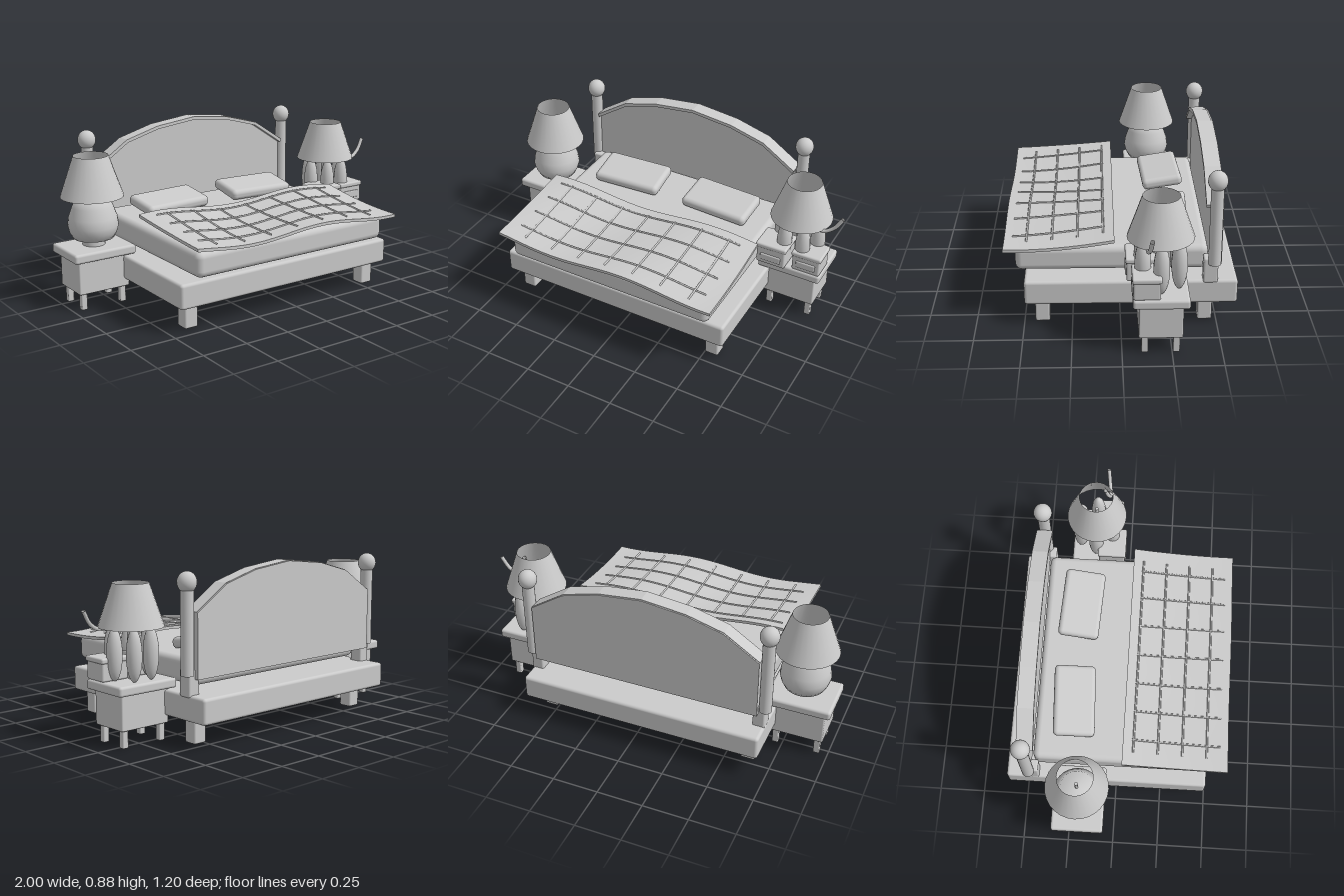
import * as THREE from 'three';
import { RoundedBoxGeometry } from 'three/addons/geometries/RoundedBoxGeometry.js';

const MID = -0.04; // x of the bed's mirror plane
const mat = new THREE.MeshStandardMaterial({ color: 0xcccccc });
const thinMat = new THREE.MeshStandardMaterial({ color: 0xcccccc, side: THREE.DoubleSide });

function add(parent, name, geometry, x = 0, y = 0, z = 0, material = mat) {
  const mesh = new THREE.Mesh(geometry, material);
  mesh.name = name;
  mesh.position.set(x, y, z);
  parent.add(mesh);
  return mesh;
}

// Rounded box given by its min and max on each axis
function block(parent, name, [x0, x1], [y0, y1], [z0, z1], radius = 0.012) {
  const geometry = new RoundedBoxGeometry(x1 - x0, y1 - y0, z1 - z0, 3, radius);
  return add(parent, name, geometry, (x0 + x1) / 2, (y0 + y1) / 2, (z0 + z1) / 2);
}

function lathe(points, sides = 28) {
  return new THREE.LatheGeometry(points.map(([r, y]) => new THREE.Vector2(r, y)), sides);
}

function createBed() {
  const bed = new THREE.Group();
  bed.name = 'bed';
  block(bed, 'bedFrame', [-0.71, 0.625], [0.135, 0.268], [-0.6, 0.495], 0.016);
  block(bed, 'mattress', [-0.64, 0.555], [0.295, 0.43], [-0.45, 0.54], 0.035);

  for (const s of [-1, 1]) {
    for (const z of [0.405, -0.438]) {
      const x = MID + s * 0.58;
      block(bed, 'bedFoot', [x - 0.038, x + 0.038], [0.01, 0.14], [z - 0.038, z + 0.038], 0.01);
    }
    // Corner post with its block and ball
    const bx = MID + s * 0.635;
    block(bed, 'postBlock', [bx - 0.033, bx + 0.033], [0.255, 0.395], [-0.495, -0.42], 0.01);
    const px = MID + s * 0.663;
    add(bed, 'headboardPost', new THREE.CylinderGeometry(0.033, 0.033, 0.42, 20), px, 0.575, -0.475);
    add(bed, 'postBall', new THREE.SphereGeometry(0.05, 20, 14), px, 0.823, -0.475).scale.y = 1.06;

    // Pillow, tipped up at the back
    const pillow = add(bed, 'pillow', new RoundedBoxGeometry(0.395, 0.06, 0.225, 4, 0.025), MID + s * 0.284, 0.473, -0.245);
    pillow.rotation.set(0.14, s * -0.05, 0);
  }

  // Arched headboard panel and the moulding along its top
  const arch = [[-0.63, 0.675], [-0.44, 0.8], [-0.24, 0.855], [0, 0.882], [0.24, 0.855], [0.44, 0.8], [0.63, 0.675]];
  const panel = new THREE.Shape([[-0.63, 0.345], ...arch, [0.63, 0.345]].map(([x, y]) => new THREE.Vector2(x, y)));
  add(bed, 'headboardPanel', new THREE.ExtrudeGeometry(panel, { depth: 0.055, bevelEnabled: false }), MID, 0, -0.515);
  const lower = arch.map(([x, y]) => [x * 0.99, y - 0.018]).reverse();
  const rim = new THREE.Shape([...arch, ...lower].map(([x, y]) => new THREE.Vector2(x, y)));
  add(bed, 'headboardMoulding', new THREE.ExtrudeGeometry(rim, { depth: 0.08, bevelEnabled: false }), MID, 0.003, -0.507);
  return bed;
}

// Height of the rumpled blanket
function drape(x, z) {
  const t = (0.6 - z) / 0.56;
  return 0.452 + 0.036 * t * t + 0.017 * Math.sin(7 * x + 3 * (z - 0.3)) - 0.008 * x;
}

function createBlanket() {
  const blanket = new THREE.Group();
  blanket.name = 'blanket';
  const cloth = new THREE.BoxGeometry(1.27, 0.016, 0.565, 40, 1, 20);
  cloth.translate(MID, 0, 0.314);
  const p = cloth.attributes.position;
  for (let i = 0; i < p.count; i++) p.setY(i, p.getY(i) + drape(p.getX(i), p.getZ(i)));
  cloth.computeVertexNormals();
  add(blanket, 'blanketCloth', cloth);

  // Stitched check lines following the cloth
  const line = (x0, z0, x1, z1) => {
    const points = [];
    for (let i = 0; i <= 16; i++) {
      const x = x0 + ((x1 - x0) * i) / 16, z = z0 + ((z1 - z0) * i) / 16;
      points.push(new THREE.Vector3(x, drape(x, z) + 0.009, z));
    }
    add(blanket, 'blanketLine', new THREE.TubeGeometry(new THREE.CatmullRomCurve3(points), 32, 0.0055, 6));
  };
  for (let i = 0; i < 7; i++) line(-0.535 + i * 0.165, 0.08, -0.535 + i * 0.165, 0.555);
  for (let i = 0; i < 4; i++) line(-0.605, 0.088 + i * 0.131, 0.52, 0.088 + i * 0.131);
  return blanket;
}

function createNightstand(cx) {
  const stand = new THREE.Group();
  stand.name = 'nightstand';
  stand.position.set(cx, 0, -0.192);
  block(stand, 'nightstandTop', [-0.178, 0.178], [0.275, 0.326], [-0.14, 0.14], 0.014);
  block(stand, 'nightstandBody', [-0.146, 0.146], [0.095, 0.28], [-0.11, 0.11], 0.008);
  for (const x of [-0.114, 0.114]) {
    for (const z of [-0.079, 0.079]) {
      block(stand, 'nightstandLeg', [x - 0.017, x + 0.017], [0.005, 0.1], [z - 0.017, z + 0.017], 0.006);
    }
  }
  return stand;
}

function createLamp(cx, name) {
  const lamp = new THREE.Group();
  lamp.name = name;
  lamp.position.set(cx, 0, -0.192);
  add(lamp, 'lampShade', lathe([[0.167, 0.588], [0.092, 0.806]]), 0, 0, 0, thinMat);
  add(lamp, 'lampRod', new THREE.CylinderGeometry(0.009, 0.009, 0.1, 10), 0, 0.62, 0);
  return lamp;
}

// Small lidded box with a drawer front
function createTrinketBox(cx, cz, width, depth, top) {
  const box = new THREE.Group();
  box.name = 'trinketBox';
  box.position.set(cx, 0, cz);
  const w = width / 2, d = depth / 2;
  block(box, 'boxBody', [-w + 0.006, w - 0.006], [0.326, top - 0.02], [-d + 0.006, d - 0.006], 0.01);
  block(box, 'boxLid', [-w, w], [top - 0.028, top], [-d, d], 0.01);
  block(box, 'boxDrawer', [-w + 0.03, w - 0.03], [0.35, 0.392], [d - 0.02, d + 0.001], 0.006);
  return box;
}

export function createModel() {
  const model = new THREE.Group();
  model.name = 'bedroomSet';
  const rightX = MID - 0.785, leftX = MID + 0.785;
  model.add(createBed(), createBlanket(), createNightstand(rightX), createNightstand(leftX));

  // Lamp with a turned base
  const turned = createLamp(rightX, 'turnedLamp');
  add(turned, 'lampFoot', new THREE.CylinderGeometry(0.06, 0.06, 0.06, 24), 0, 0.35, 0);
  add(turned, 'lampBase', lathe([[0, 0.365], [0.108, 0.365], [0.126, 0.4], [0.135, 0.435], [0.128, 0.48],
    [0.108, 0.535], [0.086, 0.588], [0, 0.592]]));

  // Lamp with a ring of upright petals for its base
  const petals = createLamp(leftX, 'petalLamp');
  for (let i = 0; i < 6; i++) {
    const a = (i * Math.PI) / 3;
    const petal = add(petals, 'lampPetal', new THREE.SphereGeometry(1, 14, 14), Math.cos(a) * 0.104, 0.46, Math.sin(a) * 0.104);
    petal.scale.set(0.041, 0.134, 0.041);
  }
  add(petals, 'lampStem', new THREE.CylinderGeometry(0.02, 0.02, 0.26, 12), 0, 0.455, 0);
  model.add(turned, petals);

  model.add(createTrinketBox(0.648, -0.1, 0.175, 0.16, 0.455));
  model.add(createTrinketBox(0.84, -0.12, 0.168, 0.145, 0.445));

  // Curled stalk hooked over the shade's rim
  const stalk = new THREE.CatmullRomCurve3([[0.835, 0.72, -0.148], [0.845, 0.64, -0.13], [0.885, 0.583, -0.122],
    [0.945, 0.612, -0.13], [0.99, 0.682, -0.138]].map((v) => new THREE.Vector3(...v)));
  add(model, 'curledStalk', new THREE.TubeGeometry(stalk, 24, 0.011, 8), 0, 0, 0, thinMat);
  return model;
}
